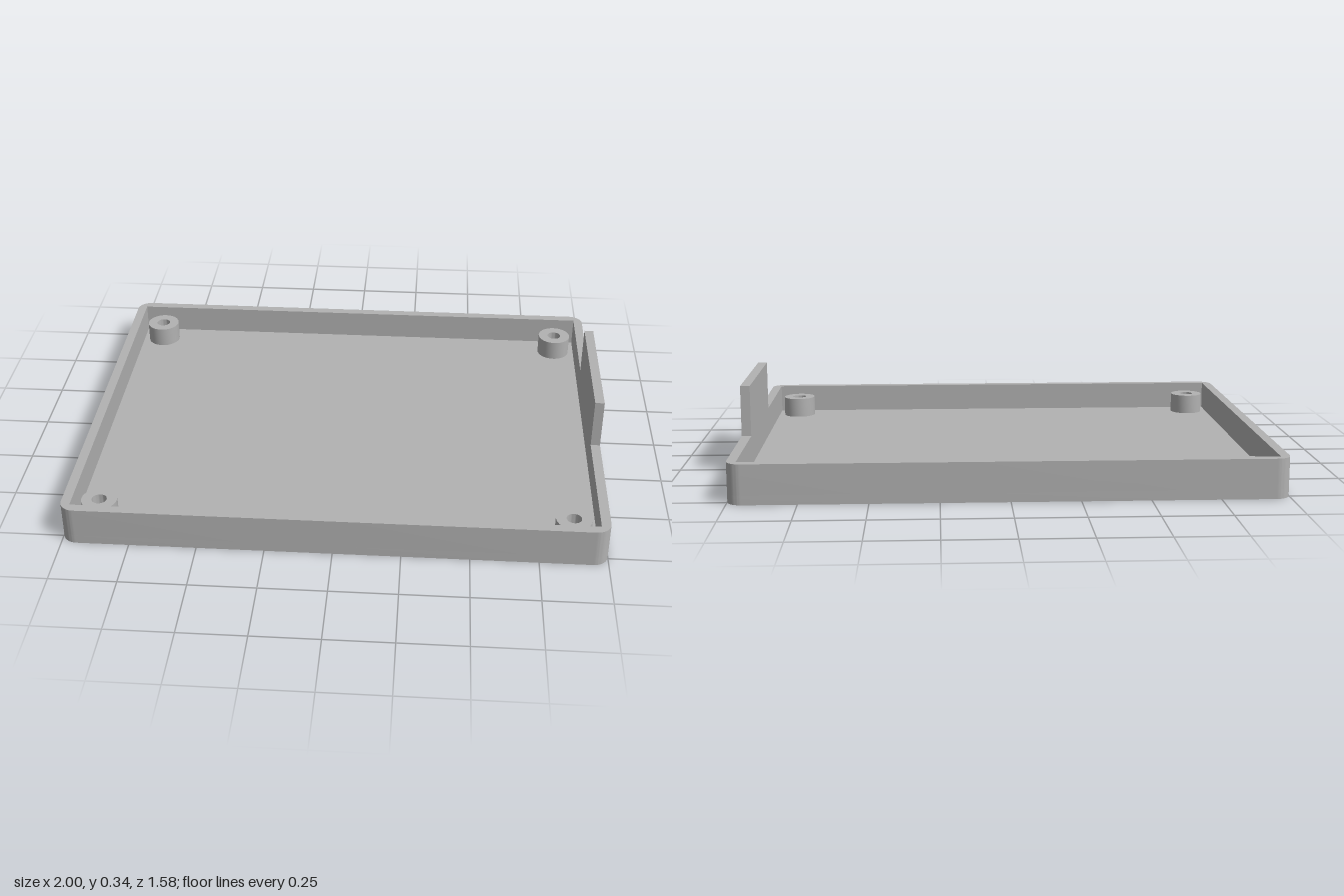
import * as THREE from 'three';
import { toCreasedNormals } from 'three/addons/utils/BufferGeometryUtils.js';

const HALF_W = 1, HALF_D = 0.79, WALL = 0.036, CORNER = 0.055;
const FLOOR = 0.035, RIM = 0.147, POST_TOP = 0.115, TAB_TOP = 0.34;

// Rounded outline of the tray
function roundedOutline(w, d, r) {
  const s = new THREE.Shape();
  s.absarc(w - r, d - r, r, 0, Math.PI / 2);
  s.absarc(-w + r, d - r, r, Math.PI / 2, Math.PI);
  s.absarc(-w + r, -d + r, r, Math.PI, Math.PI * 1.5);
  s.absarc(w - r, -d + r, r, Math.PI * 1.5, Math.PI * 2);
  s.closePath();
  return s;
}

// Extrude a plan shape upward from y0 to y1
function extrudeUp(shape, y0, y1) {
  const g = new THREE.ExtrudeGeometry(shape, { depth: y1 - y0, bevelEnabled: false, curveSegments: 10 });
  g.rotateX(-Math.PI / 2).translate(0, y0, 0);
  return toCreasedNormals(g, Math.PI / 6);
}

export function createModel() {
  const group = new THREE.Group();
  const grey = new THREE.MeshStandardMaterial({ color: 0xb2b2b2 });
  grey.name = 'grey plastic';

  const add = (name, geometry) => {
    const mesh = new THREE.Mesh(geometry, grey);
    mesh.name = name;
    group.add(mesh);
    return mesh;
  };

  // Solid floor
  add('floor', extrudeUp(roundedOutline(HALF_W, HALF_D, CORNER), 0, FLOOR));

  // Wall ring: rounded outside, square inside
  const ring = roundedOutline(HALF_W, HALF_D, CORNER);
  const ix = HALF_W - WALL, iz = HALF_D - WALL;
  ring.holes.push(new THREE.Path([[-ix, -iz], [-ix, iz], [ix, iz], [ix, -iz]].map(p => new THREE.Vector2(...p))));
  add('walls', extrudeUp(ring, FLOOR, RIM));

  // Raised tab on the left wall
  const tab = add('sideTab', new THREE.BoxGeometry(WALL, TAB_TOP - RIM, 0.558));
  tab.position.set(HALF_W - WALL / 2, (TAB_TOP + RIM) / 2, -0.044);

  // Hollow screw posts in the corners
  const profile = [[0.067, FLOOR], [0.067, POST_TOP], [0.028, POST_TOP], [0.028, FLOOR]]
    .map(p => new THREE.Vector2(...p));
  const postGeometry = toCreasedNormals(new THREE.LatheGeometry(profile, 32), Math.PI / 6);
  for (const x of [-0.875, 0.875]) {
    for (const z of [-0.67, 0.67]) {
      add('screwPost', postGeometry).position.set(x, 0, z);
    }
  }
  return group;
}
